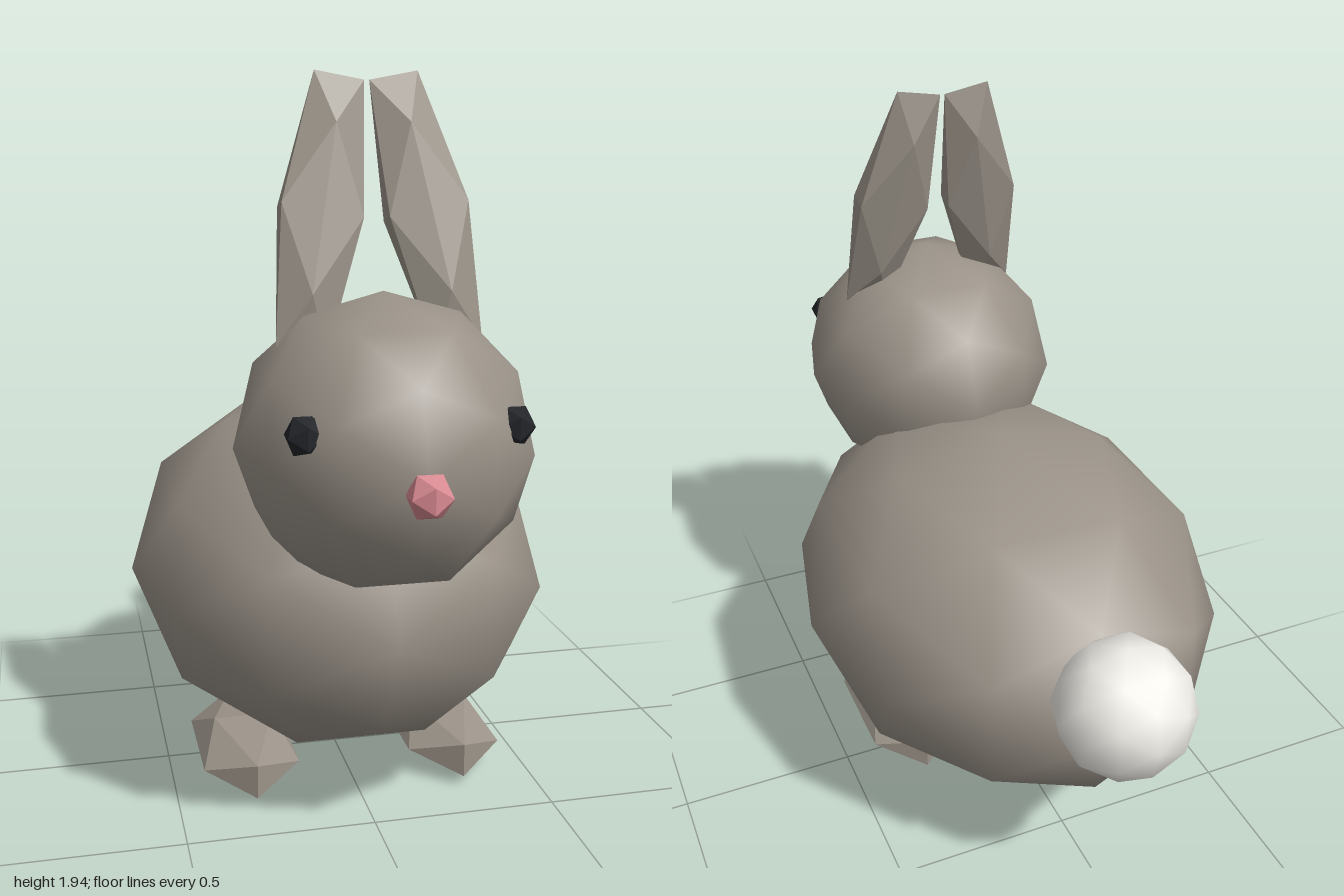
import * as THREE from 'three';

export function createModel() {
  const model = new THREE.Group();
  model.name = 'rabbit';

  const fur = { color: 0x9b9389 };
  const white = { color: 0xf0eee8 };
  const pink = { color: 0xd98a92 };
  const dark = { color: 0x222428 };

  // Ellipsoid from an icosahedron: detail 0 is faceted, detail 1 is smooth.
  function blob(name, look, radii, position, detail, parent = model) {
    const geometry = new THREE.IcosahedronGeometry(1, detail);
    geometry.scale(...radii);
    const material = new THREE.MeshStandardMaterial({ ...look, flatShading: detail === 0 });
    const mesh = new THREE.Mesh(geometry, material);
    mesh.name = name;
    mesh.position.set(...position);
    parent.add(mesh);
    return mesh;
  }

  // Smooth rounded masses
  blob('body', fur, [0.585, 0.495, 0.765], [0, 0.575, -0.04], 1);
  blob('head', fur, [0.37, 0.37, 0.41], [0, 1.055, 0.54], 1);
  blob('tail', white, [0.185, 0.185, 0.185], [0, 0.705, -0.815], 1);

  // Faceted nose
  blob('nose', pink, [0.056, 0.058, 0.056], [0, 1.027, 0.952], 0);

  // Mirrored pairs: ears, eyes and feet
  for (const [side, s] of [['left', 1], ['right', -1]]) {
    const ear = blob(side + 'Ear', fur, [0.12, 0.4, 0.06], [s * 0.1325, 1.607, 0.44], 0);
    ear.rotation.set(-0.245, 0, s * 0.19); // leaning back and inward

    blob(side + 'Eye', dark, [0.05, 0.052, 0.05], [s * 0.245, 1.14, 0.8], 0);
    blob(side + 'Foot', fur, [0.156, 0.09, 0.305], [s * 0.292, 0.077, 0.1], 0);
  }

  return model;
}
